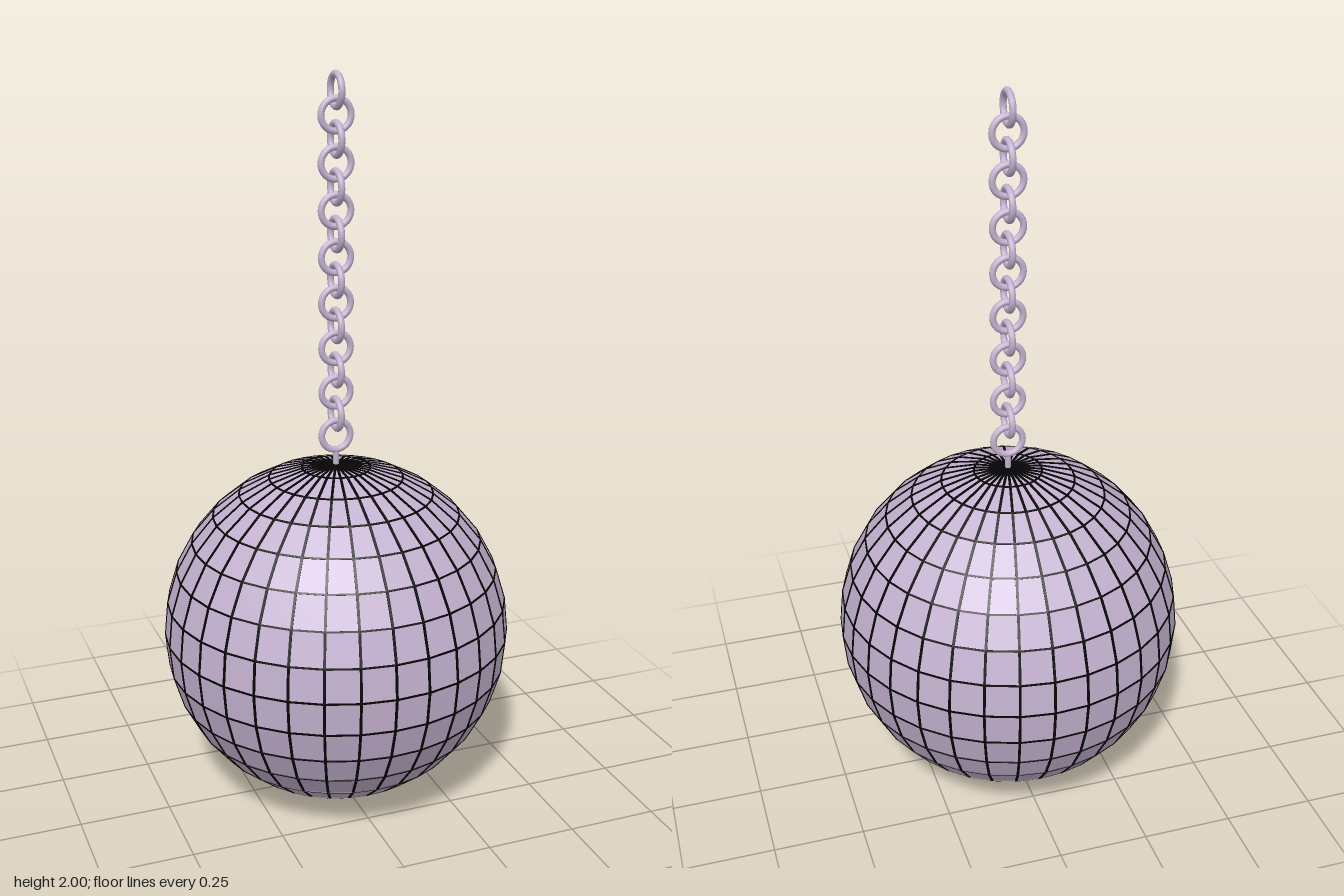
import * as THREE from 'three';
import { mergeGeometries } from 'three/addons/utils/BufferGeometryUtils.js';

const RADIUS = 0.477, CENTRE_Y = 0.481, COLS = 32, ROWS = 16;

// Corner of the faceted ball at a given row and column
function corner(row, col) {
  const polar = (row / ROWS) * Math.PI;
  const turn = (col / COLS) * Math.PI * 2;
  return new THREE.Vector3(
    -Math.cos(turn) * Math.sin(polar), Math.cos(polar), Math.sin(turn) * Math.sin(polar)
  ).multiplyScalar(RADIUS);
}

// Thin strip lying on the ball along one facet edge
function strip(a, b, width) {
  const along = b.clone().sub(a);
  const length = along.length();
  along.normalize();
  const mid = a.clone().add(b).multiplyScalar(0.5);
  const out = mid.clone().normalize();
  const side = new THREE.Vector3().crossVectors(along, out);
  const basis = new THREE.Matrix4().makeBasis(side, along, out).setPosition(mid);
  return new THREE.BoxGeometry(width, length + 0.002, 0.004).applyMatrix4(basis);
}

export function createModel() {
  const model = new THREE.Group();
  const silver = new THREE.MeshStandardMaterial({ color: 0xc4b2d0 });
  silver.name = 'lilac silver';
  const black = new THREE.MeshStandardMaterial({ color: 0x050505 });
  black.name = 'black grout';

  const add = (parent, name, geometry, material) => {
    const mesh = new THREE.Mesh(geometry, material);
    mesh.name = name;
    parent.add(mesh);
    return mesh;
  };

  // Mirror ball: flat facets with dark seams, turned slightly
  const ball = new THREE.Group();
  ball.name = 'mirrorBall';
  ball.position.y = CENTRE_Y;
  ball.rotation.y = THREE.MathUtils.degToRad(-1.85);
  model.add(ball);

  const facets = new THREE.SphereGeometry(RADIUS, COLS, ROWS).toNonIndexed();
  facets.computeVertexNormals();
  add(ball, 'mirrorFacets', facets, silver);

  const seams = [];
  for (let row = 0; row < ROWS; row++) {
    for (let col = 0; col < COLS; col++) {
      seams.push(strip(corner(row, col), corner(row + 1, col), 0.007));
      if (row > 0) seams.push(strip(corner(row, col), corner(row, col + 1), 0.005));
    }
  }
  add(ball, 'seams', mergeGeometries(seams), black);

  // Chain: round links, alternately facing the side and the front
  const chain = new THREE.Group();
  chain.name = 'chain';
  model.add(chain);
  const link = new THREE.TorusGeometry(0.041, 0.009, 12, 32);
  for (let i = 0; i < 16; i++) {
    const mesh = add(chain, 'chainLink', link, silver);
    mesh.position.y = 1.95 - i * 0.0606;
    mesh.rotation.y = i % 2 === 0 ? Math.PI / 2 : 0;
  }

  // Short pin joining the ball to the lowest link
  const pin = add(model, 'hangerPin', new THREE.CylinderGeometry(0.008, 0.008, 0.06, 12), silver);
  pin.position.y = 0.97;

  return model;
}
